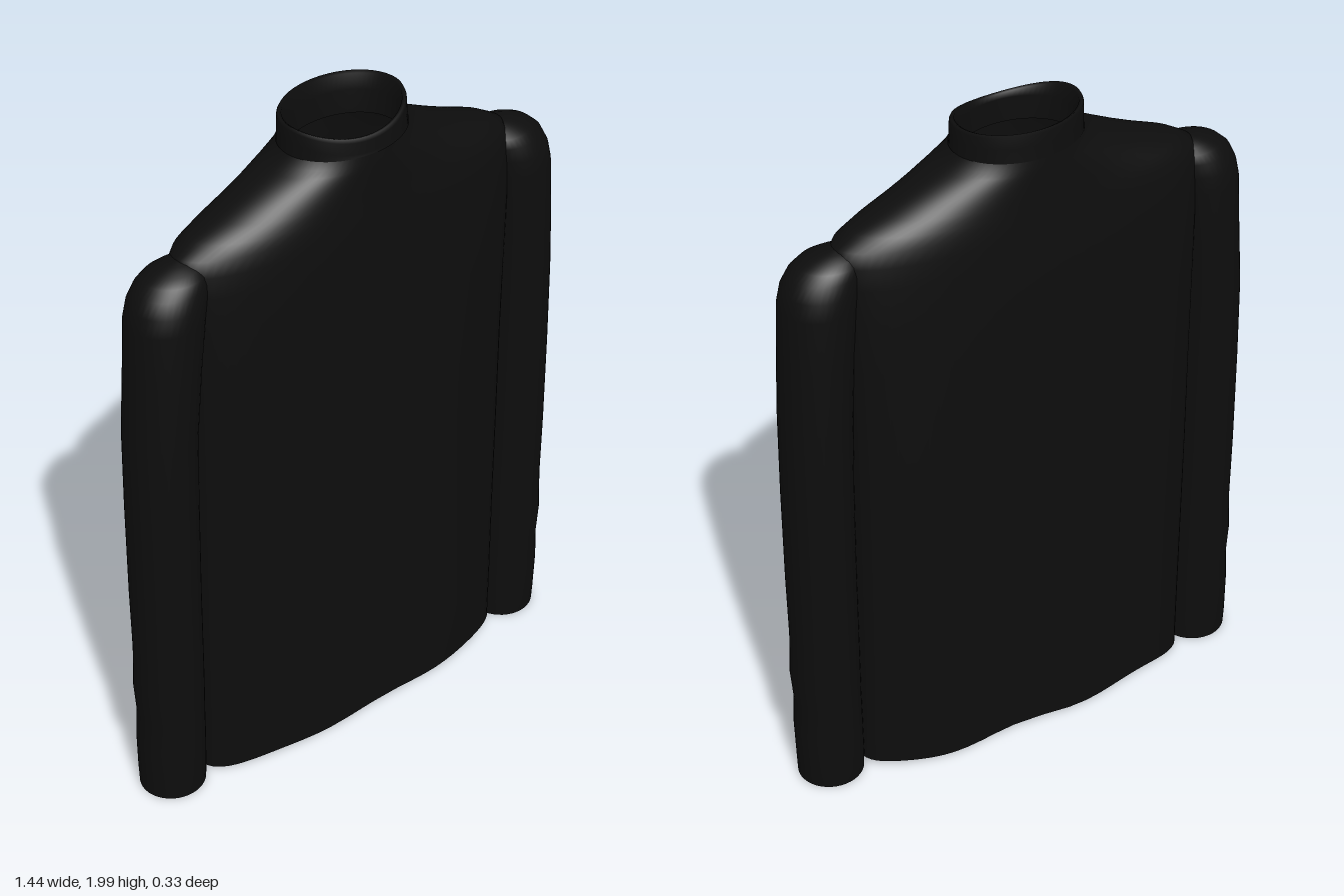
import * as THREE from 'three';

const knit = new THREE.MeshStandardMaterial({ color: 0x0d0d0d, side: THREE.DoubleSide });
knit.name = 'black knit';

// Rows are [y, centreX, halfWidth, halfDepth, centreZ, exponent]; bend adjusts each point.
function loft(name, rows, bend = () => {}, seg = 72) {
  const pos = [], idx = [], p = new THREE.Vector3();
  rows.forEach(([y, cx, rx, rz, cz, n = 2], r) => {
    for (let i = 0; i < seg; i++) {
      const a = (i / seg) * Math.PI * 2, c = Math.cos(a), s = Math.sin(a);
      p.set(cx + rx * Math.sign(c) * Math.abs(c) ** (2 / n), y,
        cz + rz * Math.sign(s) * Math.abs(s) ** (2 / n));
      bend(p, r, a);
      pos.push(p.x, p.y, p.z);
      if (r < rows.length - 1) {
        const j = r * seg + i, k = r * seg + (i + 1) % seg;
        idx.push(j, j + seg, k, k, j + seg, k + seg);
      }
    }
  });
  const g = new THREE.BufferGeometry();
  g.setAttribute('position', new THREE.Float32BufferAttribute(pos, 3));
  g.setIndex(idx);
  g.computeVertexNormals();
  const mesh = new THREE.Mesh(g, knit);
  mesh.name = name;
  return mesh;
}

export function createModel() {
  const group = new THREE.Group();
  group.name = 'turtleneckSweater';

  // Torso, open at the hem, narrowing over the shoulders into the collar
  group.add(loft('torso', [
    [0.02, 0, 0.53, 0.142, 0.005, 2.8], [0.2, 0, 0.53, 0.146, 0.005, 2.8],
    [0.5, 0, 0.53, 0.151, 0.003, 2.8], [0.8, 0, 0.53, 0.158, 0.002, 2.8],
    [1.1, 0, 0.53, 0.161, 0.002, 2.8], [1.4, 0, 0.535, 0.162, 0.004, 2.8],
    [1.55, 0, 0.54, 0.16, 0.006, 2.7], [1.65, 0, 0.545, 0.157, 0.007, 2.5],
    [1.71, 0, 0.548, 0.154, 0.007, 2.3], [1.75, 0, 0.535, 0.152, 0.007, 2.1],
    [1.78, 0, 0.485, 0.15, 0.007, 2], [1.81, 0, 0.405, 0.149, 0.007, 2],
    [1.835, 0, 0.345, 0.148, 0.007, 2], [1.86, 0, 0.29, 0.147, 0.007, 2],
    [1.885, 0, 0.235, 0.146, 0.007, 2], [1.9, 0, 0.205, 0.145, 0.007, 2],
    [1.92, 0, 0.186, 0.143, 0.007, 2],
  ], (p, r) => {
    if (r === 0) p.y += 0.008 * Math.cos((p.x - 0.07) * 15);  // wavy hem
    if (r < 5) p.z += 0.003 * Math.sin(p.x * 14);             // soft drape
  }));

  // Stand-up collar with a rolled rim and an inner wall, dipping at the front
  group.add(loft('collar', [
    [1.9, 0, 0.186, 0.143, 0.007], [1.92, 0, 0.184, 0.141, 0.006],
    [1.96, 0, 0.184, 0.138, 0.006], [1.992, 0, 0.183, 0.136, 0.005],
    [2, 0, 0.179, 0.132, 0.005], [1.995, 0, 0.17, 0.124, 0.005],
    [1.95, 0, 0.166, 0.12, 0.007], [1.88, 0, 0.166, 0.12, 0.008],
  ], (p, r) => {
    if (r > 1 && r < 6) p.y -= 0.035 * Math.max(0, p.z / 0.14) ** 2;
  }));

  // Long straight sleeves with rounded shoulder caps and open cuffs
  const sleeveRows = [
    [0.008, 0.615, 0.095, 0.092, 0.012], [0.06, 0.615, 0.096, 0.096, 0.012],
    [0.18, 0.616, 0.097, 0.098, 0.014], [0.28, 0.614, 0.094, 0.098, 0.015],
    [0.37, 0.617, 0.098, 0.1, 0.016], [0.5, 0.614, 0.095, 0.1, 0.016],
    [0.7, 0.615, 0.096, 0.102, 0.016], [1, 0.613, 0.097, 0.104, 0.016],
    [1.25, 0.608, 0.098, 0.106, 0.016], [1.45, 0.598, 0.1, 0.107, 0.016],
    [1.6, 0.585, 0.106, 0.105, 0.016], [1.65, 0.575, 0.106, 0.1, 0.016],
    [1.69, 0.56, 0.102, 0.088, 0.015], [1.715, 0.545, 0.09, 0.074, 0.014],
    [1.73, 0.535, 0.07, 0.055, 0.012], [1.742, 0.53, 0.04, 0.03, 0.01],
    [1.746, 0.525, 0, 0, 0.01],
  ];
  for (const side of [-1, 1]) {
    group.add(loft(side > 0 ? 'leftSleeve' : 'rightSleeve',
      sleeveRows.map(([y, cx, ...rest]) => [y, cx * side, ...rest]),
      (p) => { if (side < 0 && p.y < 1.4) p.x -= 0.006; }, 40));
  }
  return group;
}
